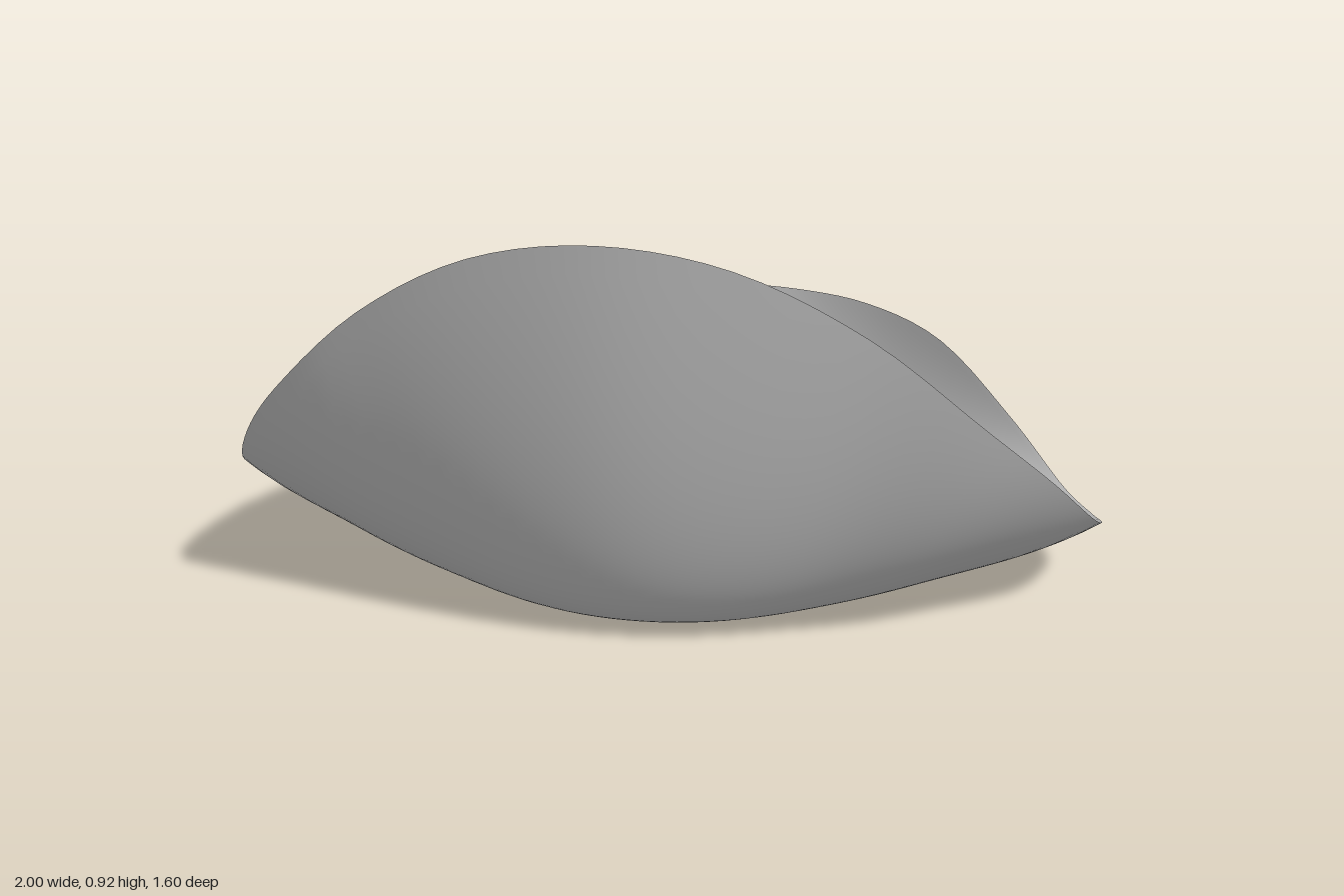
import * as THREE from 'three';

const AROUND = 128;
const CENTRE_Z = -0.03;
const BASE_R = 0.55;

// Half of the brim edge, from the tall front, past the low side, to the back
const half = [
  [0, 0.922, 0.8], [0.25, 0.88, 0.775], [0.5, 0.745, 0.71], [0.73, 0.54, 0.61],
  [0.87, 0.385, 0.47], [0.97, 0.24, 0.3], [1, 0.165, 0.13], [0.985, 0.133, 0.01],
  [0.93, 0.137, -0.12], [0.8, 0.24, -0.3], [0.6, 0.37, -0.53], [0.4, 0.41, -0.685],
  [0.2, 0.415, -0.775], [0, 0.415, -0.8],
].map((p) => new THREE.Vector3(...p));
const mirrored = half.slice(1, -1).reverse().map((p) => new THREE.Vector3(-p.x, p.y, p.z));
const rim = new THREE.CatmullRomCurve3([...half, ...mirrored], true);

// Height of the base ring: it dips to the ground at both sides
const baseY = (angle) => 0.02 * (1 - Math.sin(angle) ** 8);

const ringPoint = (angle, r, y) =>
  new THREE.Vector3(r * Math.sin(angle), y, CENTRE_Z + r * Math.cos(angle));

// Closed loft: at(u, v) gives a point, u round the hat, v from outside to inside
function loft(name, rows, at, material) {
  const positions = [];
  const index = [];
  for (let j = 0; j <= rows; j++) {
    for (let i = 0; i < AROUND; i++) positions.push(...at(i / AROUND, j / rows).toArray());
  }
  for (let j = 0; j < rows; j++) {
    for (let i = 0; i < AROUND; i++) {
      const a = j * AROUND + i;
      const b = j * AROUND + ((i + 1) % AROUND);
      index.push(a, b, a + AROUND, b, b + AROUND, a + AROUND);
    }
  }
  const geometry = new THREE.BufferGeometry();
  geometry.setAttribute('position', new THREE.Float32BufferAttribute(positions, 3));
  geometry.setIndex(index);
  geometry.computeVertexNormals();
  const mesh = new THREE.Mesh(geometry, material);
  mesh.name = name;
  return mesh;
}

export function createModel() {
  const group = new THREE.Group();
  group.name = 'hat';
  const material = new THREE.MeshStandardMaterial({ color: 0xcccccc, side: THREE.DoubleSide });

  // Upturned brim: each section curves from the edge down to the base ring
  const brimPoint = (u, v) => {
    const edge = rim.getPoint(u);
    const angle = Math.atan2(edge.x, edge.z - CENTRE_Z);
    const base = ringPoint(angle, BASE_R, baseY(angle));
    const bend = base.clone().lerp(edge, 0.7 - 0.13 * Math.cos(angle));
    bend.y = base.y + 0.06;
    return new THREE.QuadraticBezierCurve3(edge, bend, base).getPoint(v);
  };
  group.add(loft('brim', 28, brimPoint, material));

  // Hollow rounded crown, tucked in slightly where it meets the brim
  const profile = new THREE.SplineCurve([
    [BASE_R, 0.02], [0.53, 0.035], [0.525, 0.07], [0.515, 0.13], [0.475, 0.22],
    [0.41, 0.305], [0.32, 0.365], [0.2, 0.408], [0.1, 0.424], [0, 0.428],
  ].map((p) => new THREE.Vector2(...p)));
  const crownPoint = (u, v) => {
    const edge = rim.getPoint(u);
    const angle = Math.atan2(edge.x, edge.z - CENTRE_Z);
    const p = profile.getPoint(v);
    const dip = (0.02 - baseY(angle)) * THREE.MathUtils.clamp(1 - (p.y - 0.02) / 0.1, 0, 1);
    return ringPoint(angle, p.x, p.y - dip);
  };
  group.add(loft('crown', 36, crownPoint, material));

  return group;
}
